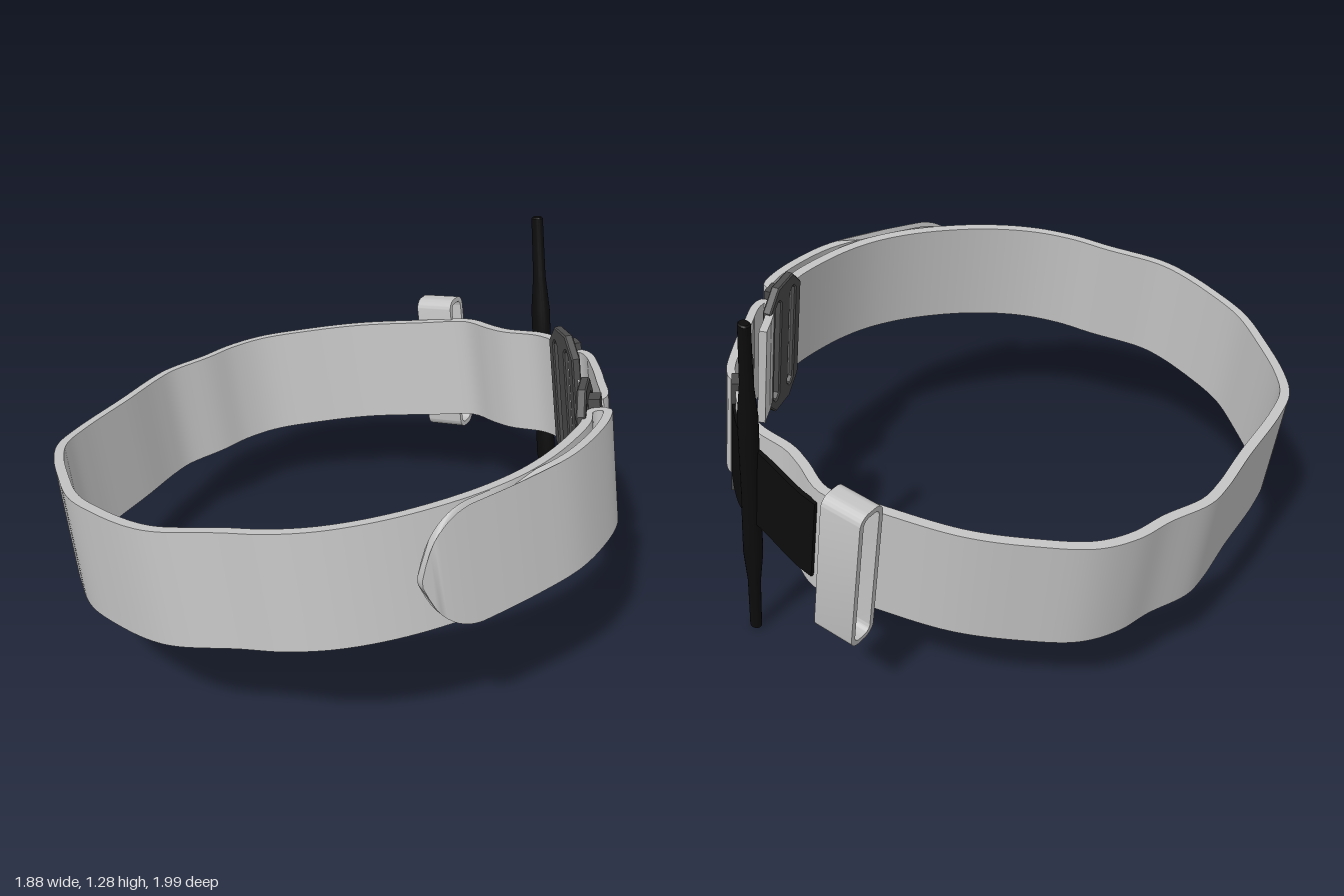
import * as THREE from 'three';
import { toCreasedNormals } from 'three/addons/utils/BufferGeometryUtils.js';

const webbing = new THREE.MeshStandardMaterial({ color: 0xc4c4c4 });
webbing.name = 'light grey webbing';
const plastic = new THREE.MeshStandardMaterial({ color: 0x4c4c4c });
plastic.name = 'dark grey plastic';
const black = new THREE.MeshStandardMaterial({ color: 0x0c0c0c });
black.name = 'black';

function mesh(name, geometry, material) {
  const m = new THREE.Mesh(geometry, material);
  m.name = name;
  return m;
}

// Strap: a path of [x, z] points given thickness, extruded upward to its width.
// roundTip > 0 rounds the far end to a semicircle of that radius.
function strap(name, path, width, thickness, material, roundTip = 0) {
  const curve = new THREE.CatmullRomCurve3(path.map(([x, z]) => new THREE.Vector3(x, -z, 0)));
  const n = path.length * 6;
  const sideA = [], sideB = [];
  for (let i = 0; i <= n; i++) {
    const p = curve.getPointAt(i / n), t = curve.getTangentAt(i / n);
    const ox = -t.y * thickness / 2, oy = t.x * thickness / 2;
    sideA.push(new THREE.Vector2(p.x + ox, p.y + oy));
    sideB.unshift(new THREE.Vector2(p.x - ox, p.y - oy));
  }
  const shape = new THREE.Shape([...sideA, ...sideB]);
  const geo = new THREE.ExtrudeGeometry(shape, { depth: width, bevelEnabled: false });
  geo.translate(0, 0, -width / 2).rotateX(-Math.PI / 2);
  if (roundTip) {
    const pos = geo.attributes.position;
    const tip = new THREE.Vector2(...path[path.length - 1]);
    for (let i = 0; i < pos.count; i++) {
      const d = Math.max(0, tip.distanceTo(new THREE.Vector2(pos.getX(i), pos.getZ(i))) - thickness / 2);
      const k = 1 - d / roundTip;
      if (k > 0) pos.setY(i, pos.getY(i) * Math.max(0.06, Math.sqrt(Math.max(0, 1 - k * k))));
    }
  }
  return mesh(name, toCreasedNormals(geo, 0.6), material);
}

// Rectangle with cut corners, as points
function cutRect(w, h, c, cx = 0) {
  const a = w / 2, b = h / 2;
  return [[a - c, -b], [a, c - b], [a, b - c], [a - c, b], [c - a, b], [-a, b - c], [-a, c - b], [c - a, -b]]
    .map(([x, y]) => new THREE.Vector2(x + cx, y));
}

// Three-bar buckle with a raised centre bar
function buckle(name, x, z, angle) {
  const g = new THREE.Group();
  g.name = name;
  const shape = new THREE.Shape(cutRect(0.24, 0.53, 0.065));
  for (const s of [-1, 1]) shape.holes.push(new THREE.Path(cutRect(0.055, 0.44, 0.02, s * 0.058)));
  const geo = new THREE.ExtrudeGeometry(shape, {
    depth: 0.022, bevelEnabled: true, bevelSize: 0.005, bevelThickness: 0.005, bevelSegments: 1,
  });
  geo.translate(0, 0, -0.011);
  g.add(mesh(name + 'Frame', geo, plastic));
  const bar = mesh(name + 'CentreBar', new THREE.BoxGeometry(0.06, 0.45, 0.045), plastic);
  bar.position.z = 0.032;
  g.add(bar);
  g.position.set(x, 0, z);
  g.rotation.y = angle;
  return g;
}

function roundedRect(target, w, h, r) {
  const a = w / 2, b = h / 2;
  target.moveTo(a, r - b);
  target.absarc(a - r, b - r, r, 0, Math.PI / 2);
  target.absarc(r - a, b - r, r, Math.PI / 2, Math.PI);
  target.absarc(r - a, r - b, r, Math.PI, Math.PI * 1.5);
  target.absarc(a - r, r - b, r, Math.PI * 1.5, Math.PI * 2);
  return target;
}

export function createModel() {
  const model = new THREE.Group();
  model.name = 'strapBand';
  const W = 0.395, T = 0.034;

  // Main loop, from the rear buckle around the left, front and right
  const loop = [
    [0.435, -0.77], [0.38, -0.82], [0.24, -0.875], [0.087, -0.862], [0.005, -0.876], [-0.128, -0.908],
    [-0.288, -0.836], [-0.526, -0.714], [-0.69, -0.577], [-0.81, -0.444], [-0.858, -0.317],
    [-0.87, -0.185], [-0.9, -0.02], [-0.886, 0.08], [-0.837, 0.265], [-0.774, 0.53],
    [-0.726, 0.656], [-0.645, 0.74], [-0.5, 0.84], [-0.34, 0.93], [-0.18, 0.966], [-0.01, 0.98],
    [0.087, 0.966], [0.273, 0.88], [0.407, 0.825], [0.54, 0.735], [0.674, 0.582], [0.79, 0.37],
    [0.845, 0.196], [0.86, 0.053], [0.85, -0.106], [0.824, -0.238], [0.79, -0.3],
  ];
  model.add(strap('mainStrap', loop, W, T, webbing));

  // Free tail folded back over the outside, with a rounded tip
  const tail = [
    [0.79, -0.29], [0.8, -0.332], [0.835, -0.345], [0.862, -0.3], [0.893, -0.185], [0.91, 0],
    [0.878, 0.196], [0.825, 0.397], [0.795, 0.49], [0.757, 0.585],
  ];
  model.add(strap('tailStrap', tail, W, 0.03, webbing, 0.19));

  // Short strap linking the two buckles, folded under at the side one
  const link = [
    [0.45, -0.735], [0.468, -0.775], [0.51, -0.76], [0.604, -0.66], [0.69, -0.55], [0.758, -0.458],
    [0.765, -0.42], [0.735, -0.415], [0.685, -0.46], [0.62, -0.54],
  ];
  model.add(strap('linkStrap', link, W, 0.028, webbing));

  model.add(buckle('sideBuckle', 0.745, -0.355, 2.02));
  model.add(buckle('rearBuckle', 0.41, -0.765, 2.47));

  // Narrow inner webbing under the rod
  const inner = [[-0.12, -0.928], [-0.05, -0.93], [0.105, -0.915], [0.26, -0.9], [0.33, -0.87], [0.41, -0.822]];
  model.add(strap('innerWebbing', inner, 0.3, 0.016, black));

  // Twisting rod, thicker in the middle
  const half = [[0.034, 0], [0.036, 0.2], [0.036, 0.29], [0.024, 0.42], [0.022, 0.638], [0.017, 0.643], [0, 0.643]];
  const profile = [
    ...half.slice(1).reverse().map(([r, y]) => new THREE.Vector2(r, -y)),
    ...half.map(([r, y]) => new THREE.Vector2(r, y)),
  ];
  const rod = mesh('rod', toCreasedNormals(new THREE.LatheGeometry(profile, 20), 0.6), black);
  rod.scale.z = 0.85;
  rod.position.set(0.205, -0.014, -0.917);
  rod.rotation.set(-0.043, 0, -0.008);
  model.add(rod);

  // Open sleeve that holds the rod end
  const ring = roundedRect(new THREE.Shape(), 0.11, 0.54, 0.04);
  ring.holes.push(roundedRect(new THREE.Path(), 0.074, 0.504, 0.024));
  const ringGeo = new THREE.ExtrudeGeometry(ring, { depth: 0.145, bevelEnabled: false, curveSegments: 8 });
  ringGeo.translate(0, 0, -0.0725).rotateY(Math.PI / 2);
  const sleeve = mesh('rodSleeve', toCreasedNormals(ringGeo, 0.6), webbing);
  sleeve.position.set(-0.271, 0, -0.927);
  sleeve.rotation.y = 0.18;
  model.add(sleeve);

  // The whole band leans to one side
  model.rotation.z = THREE.MathUtils.degToRad(9);
  model.position.y = 0.625;
  const root = new THREE.Group();
  root.name = 'tourniquet';
  root.add(model);
  return root;
}
